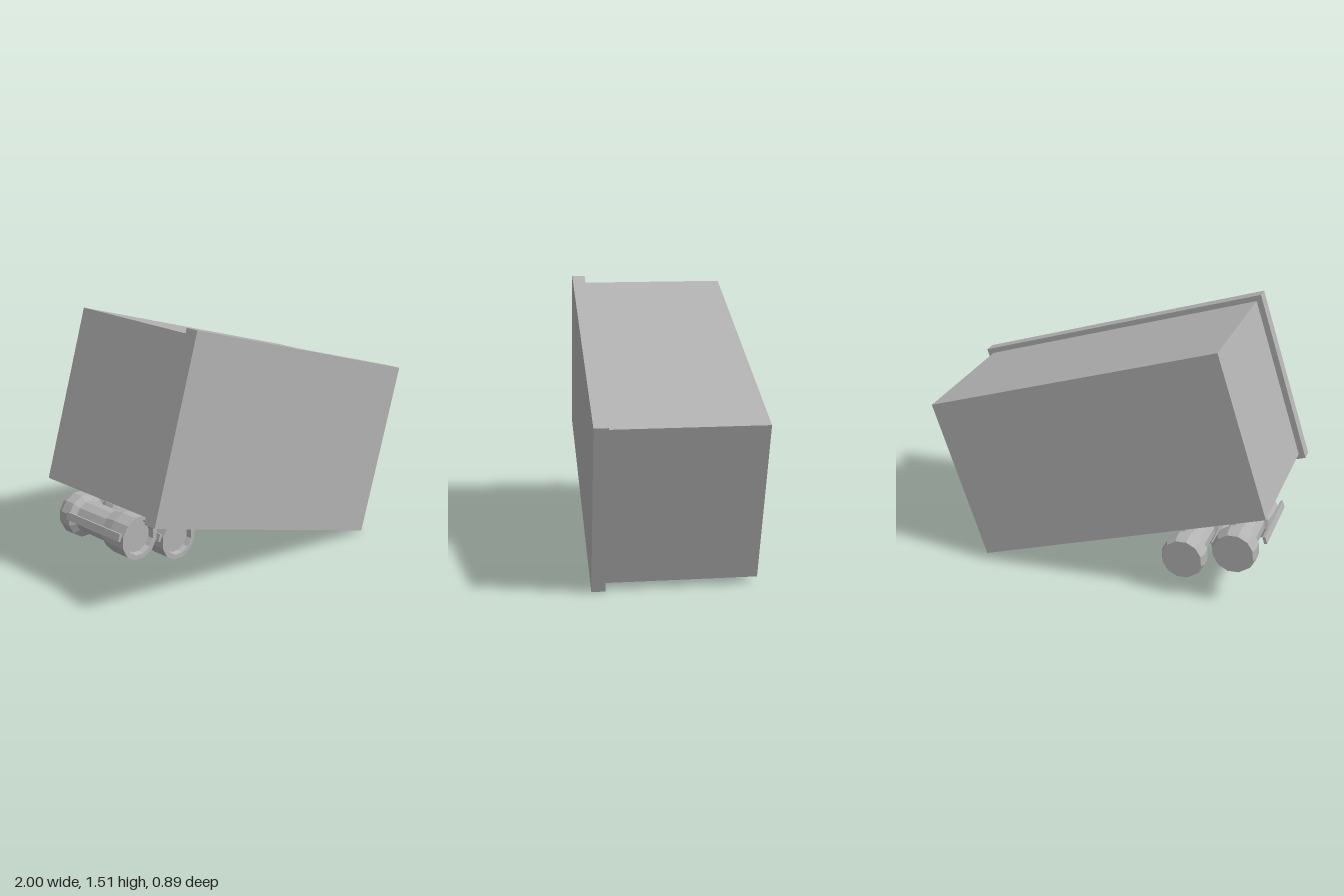
import * as THREE from 'three';

export function createModel() {
  const root = new THREE.Group();
  const grey = new THREE.MeshStandardMaterial({ color: 0xb2b2b2, flatShading: true });
  grey.name = 'plain grey';

  // everything shares one tilt about the box centre
  const tilted = new THREE.Group();
  tilted.name = 'tiltedBody';
  tilted.position.y = 0.756;
  tilted.rotation.z = -0.3146;
  root.add(tilted);

  const add = (name, geometry, x, y, z, parent = tilted) => {
    const mesh = new THREE.Mesh(geometry, grey);
    mesh.name = name;
    mesh.position.set(x, y, z);
    parent.add(mesh);
    return mesh;
  };

  // main case and its overhanging front plate
  add('case', new THREE.BoxGeometry(1.71, 0.947, 0.815), 0, 0, -0.0375);
  add('frontPlate', new THREE.BoxGeometry(1.777, 1.007, 0.075), 0, 0, 0.4075);

  // canister profile (radius, z): rear cap, slim shaft, front collar with recess
  const profile = [
    [0, -0.44], [0.113, -0.44], [0.125, -0.41], [0.125, -0.345], [0.092, -0.32],
    [0.092, -0.09], [0.112, -0.08], [0.125, -0.01], [0.125, 0.1],
    [0.097, 0.1], [0.09, 0.07], [0, 0.07],
  ].map(([r, z]) => new THREE.Vector2(r, z));

  // two canisters under the case, each with a slim side rail
  [-0.619, -0.319].forEach((x, i) => {
    const unit = new THREE.Group();
    unit.name = 'canisterUnit' + (i + 1);
    unit.position.set(x, -0.652, 0);
    tilted.add(unit);
    const body = new THREE.LatheGeometry(profile, 12);
    body.rotateX(Math.PI / 2);
    add('canister', body, 0, 0, 0, unit);
    add('sideRail', new THREE.BoxGeometry(0.016, 0.042, 0.43), -0.152, 0, -0.11, unit);
  });

  return root;
}
